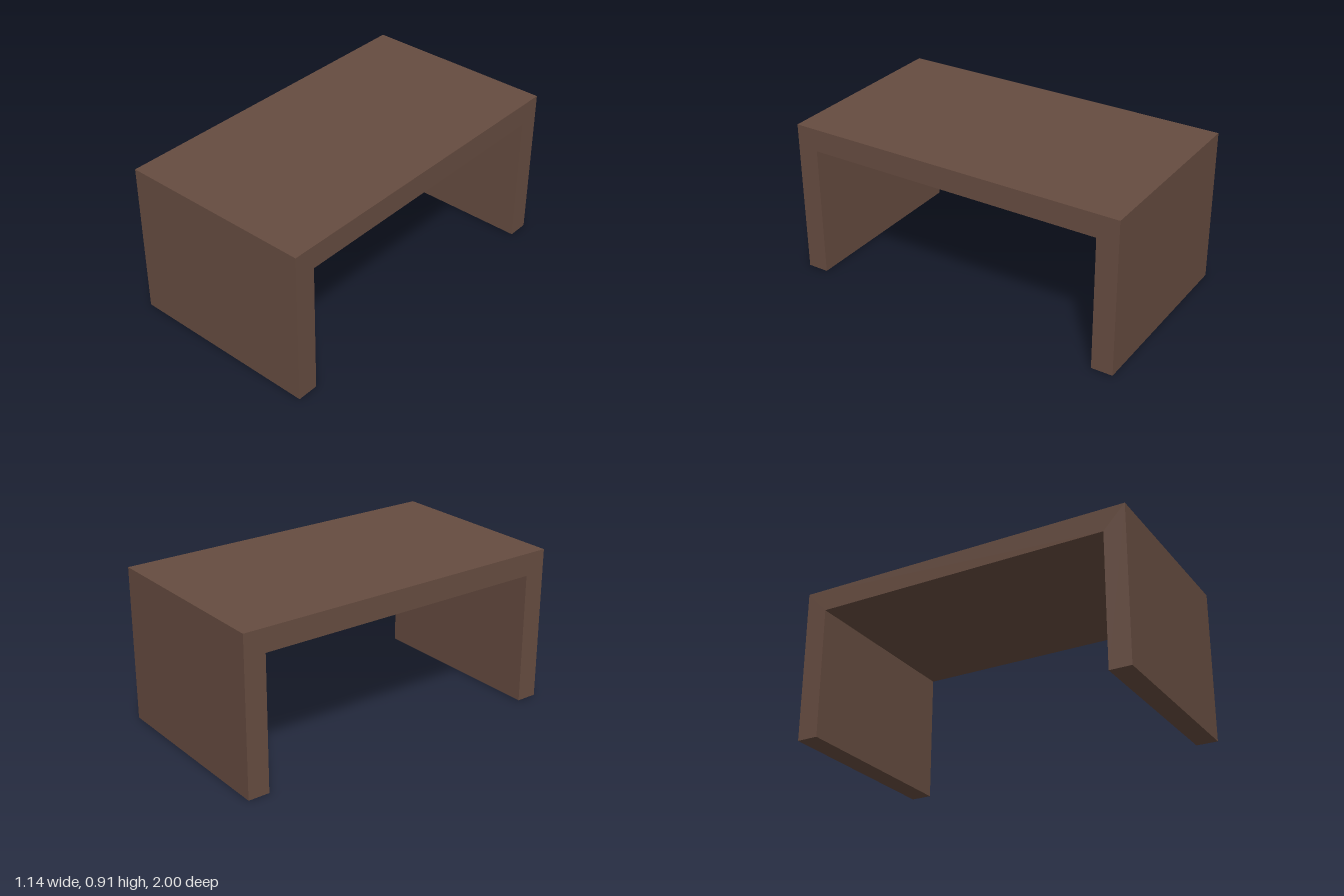
import * as THREE from 'three';

export function createModel() {
  const model = new THREE.Group();
  model.name = 'table';

  const brown = new THREE.MeshStandardMaterial({ color: 0x664c40 });
  brown.name = 'brown wood';

  const width = 1.138, height = 0.907, top = 0.775, inner = 0.875;

  // Side profile: a flat top carried by a slab leg at each end
  const profile = new THREE.Shape([
    [-1, 0], [-inner, 0], [-inner, top], [inner, top],
    [inner, 0], [1, 0], [1, height], [-1, height],
  ].map(([z, y]) => new THREE.Vector2(z, y)));

  // Sweep the profile across the width, then turn its length along z
  const geometry = new THREE.ExtrudeGeometry(profile, { depth: width, bevelEnabled: false });
  geometry.translate(0, 0, -width / 2);
  geometry.rotateY(Math.PI / 2);

  const body = new THREE.Mesh(geometry, brown);
  body.name = 'tabletopAndLegs';
  model.add(body);
  return model;
}
